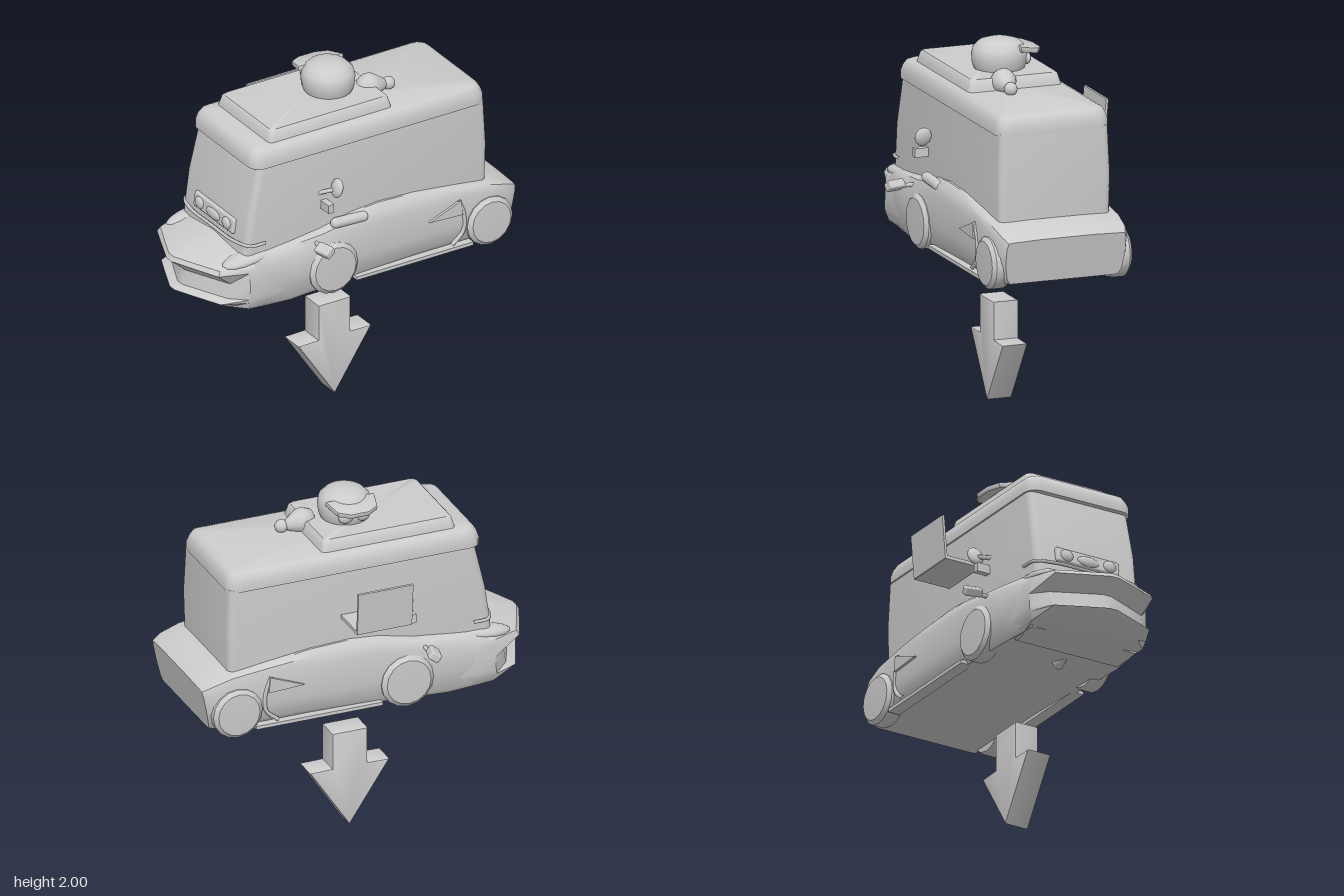
import * as THREE from 'three';
import { toCreasedNormals } from 'three/addons/utils/BufferGeometryUtils.js';
import { RoundedBoxGeometry } from 'three/addons/geometries/RoundedBoxGeometry.js';

const grey = new THREE.MeshStandardMaterial({ color: 0xcccccc });
grey.name = 'plainGrey';

// Closed skin over equal-length rings, counter-clockwise seen from the last ring
function loft(rings, crease = 0.6) {
  const n = rings[0].length, pos = [], idx = [];
  rings.forEach(r => r.forEach(p => pos.push(...p)));
  for (let i = 0; i < rings.length - 1; i++) {
    for (let j = 0; j < n; j++) {
      const a = i * n + j, b = i * n + (j + 1) % n;
      idx.push(a, b, b + n, a, b + n, a + n);
    }
  }
  [0, rings.length - 1].forEach((r, end) => {
    const c = pos.length / 3;
    pos.push(...[0, 1, 2].map(k => rings[r].reduce((s, p) => s + p[k], 0) / n));
    for (let j = 0; j < n; j++) {
      const a = r * n + j, b = r * n + (j + 1) % n;
      idx.push(...(end ? [c, a, b] : [c, b, a]));
    }
  });
  const g = new THREE.BufferGeometry();
  g.setAttribute('position', new THREE.Float32BufferAttribute(pos, 3));
  g.setIndex(idx);
  return toCreasedNormals(g, crease);
}

// Horizontal rounded rectangle at height y
function roundRect(y, x0, x1, hz, r) {
  const pts = [];
  [[x1 - r, hz - r], [x0 + r, hz - r], [x0 + r, r - hz], [x1 - r, r - hz]].forEach(([cx, cz], q) => {
    for (let k = 0; k <= 4; k++) {
      const a = (q + k / 4) * Math.PI / 2;
      pts.push([cx + r * Math.cos(a), y, -(cz + r * Math.sin(a))]);
    }
  });
  return pts;
}

export function createModel() {
  const root = new THREE.Group();
  const add = (name, geo, x = 0, y = 0, z = 0) => {
    const m = new THREE.Mesh(geo, grey);
    m.name = name;
    m.position.set(x, y, z);
    root.add(m);
    return m;
  };

  // Arrow marker below the vehicle
  const arrow = new THREE.Shape([[0.01, 0.012], [0.228, 0.34], [0.1, 0.34], [0.1, 0.55],
    [-0.085, 0.55], [-0.085, 0.34], [-0.21, 0.34]].map(p => new THREE.Vector2(...p)));
  add('arrowMarker', toCreasedNormals(new THREE.ExtrudeGeometry(arrow, {
    depth: 0.126, bevelSize: 0.01, bevelThickness: 0.01, bevelSegments: 2 }), 0.6), 0, 0, -0.063);

  // Low car body: x, half width, top half width, top, shoulder, bottom
  const sections = [
    [-0.68, 0.36, 0.27, 1.17, 1.10, 0.83], [-0.45, 0.385, 0.31, 1.18, 1.12, 0.83],
    [-0.25, 0.385, 0.33, 1.2, 1.14, 0.84], [-0.05, 0.38, 0.335, 1.245, 1.16, 0.85],
    [0.12, 0.38, 0.335, 1.26, 1.16, 0.86], [0.35, 0.38, 0.335, 1.25, 1.16, 0.87],
    [0.6, 0.38, 0.34, 1.22, 1.15, 0.87], [0.82, 0.378, 0.335, 1.19, 1.13, 0.87],
    [0.93, 0.37, 0.325, 1.15, 1.1, 0.87], [0.985, 0.345, 0.31, 1.12, 1.08, 0.875]];
  add('carBody', loft(sections.map(([x, w, tw, top, sh, bot]) => {
    const half = [[top, tw * 0.5], [top - 0.005, tw], [(top + sh) / 2 + 0.012, (w + tw) / 2 + 0.008],
      [sh, w], [0.99, w], [bot + 0.03, w * 0.96], [bot, w * 0.9], [bot, w * 0.4]];
    const lean = x > 0.9 ? 0.2 : 0;
    const at = s => ([y, z]) => [x + (y - 1.1) * lean, y, s * z];
    return [...half.map(at(1)), ...half.slice().reverse().map(at(-1))];
  }), 0.7));

  // Pointed nose with an open mouth: height, tip x, corner half width, rear half width
  const nose = [[0.82, -0.75, 0.22, 0.32], [0.85, -0.91, 0.27, 0.35], [0.895, -0.98, 0.3, 0.365],
    [0.915, -0.93, 0.29, 0.37], [1.0, -0.915, 0.29, 0.37], [1.075, -1.0, 0.31, 0.365],
    [1.1, -0.985, 0.3, 0.36], [1.15, -0.83, 0.27, 0.32], [1.175, -0.72, 0.22, 0.28]];
  add('carNose', loft(nose.map(([y, tip, w, rear]) => {
    const side = [[tip, 0.025], [tip + 0.06, w * 0.55], [tip + 0.12, w], [Math.max(tip + 0.2, -0.72), rear], [-0.5, rear]];
    return [...side.map(([x, z]) => [x, y, z]), ...side.slice().reverse().map(([x, z]) => [x, y, -z])];
  }), 0.5));

  // Fender humps on the front corners
  for (const s of [-1, 1]) {
    const g = new THREE.SphereGeometry(1, 16, 10).scale(0.17, 0.04, 0.07);
    add('frontFender', g, -0.67, 1.125, s * 0.28).rotation.z = 0.12;
  }

  // Belly fin
  add('bellyFin', new THREE.ConeGeometry(0.035, 0.1, 10).rotateZ(Math.PI / 2), -0.39, 0.835, 0.045);

  // Wheels, sills and side scoops on both sides
  const tyre = [[0, -0.055], [0.14, -0.055], [0.148, -0.04], [0.148, 0.03], [0.125, 0.05], [0, 0.055]]
    .map(p => new THREE.Vector2(...p));
  const wheelGeo = toCreasedNormals(new THREE.LatheGeometry(tyre, 16).rotateX(Math.PI / 2), 0.5);
  const scoop = new THREE.Shape([[0.41, 1.07], [0.61, 1.15], [0.62, 1.06]].map(p => new THREE.Vector2(...p)));
  const arch = new THREE.CatmullRomCurve3([[0.6, 1.15], [0.635, 1.05], [0.63, 0.95], [0.56, 0.885]]
    .map(([x, y]) => new THREE.Vector3(x, y, 0)));
  for (const s of [-1, 1]) {
    for (const [x, y, r] of [[-0.195, 0.968, 1.03], [0.797, 0.968, 0.97]]) {
      const w = add('wheel', wheelGeo, x, y, s * 0.355);
      w.rotation.y = s < 0 ? Math.PI : 0;
      w.scale.set(r, r, 1);
    }
    add('sideSill', new THREE.BoxGeometry(0.74, 0.02, 0.07), 0.32, 0.86, s * 0.352);
    add('sideScoop', new THREE.ExtrudeGeometry(scoop, { depth: 0.02, bevelEnabled: false }), 0, 0, s * 0.385 - 0.01);
    add('rearArch', new THREE.TubeGeometry(arch, 12, 0.012, 6), 0, 0, s * 0.378);
  }

  // Side pod on the front flank
  add('sidePod', new THREE.CapsuleGeometry(0.03, 0.17, 6, 12).rotateZ(Math.PI / 2 - 0.05), -0.075, 1.212, 0.35);

  // Tall van cabin with sloping windscreen
  add('vanCabin', loft([
    roundRect(1.13, -0.72, 0.82, 0.322, 0.04), roundRect(1.2, -0.715, 0.82, 0.322, 0.04),
    roundRect(1.4, -0.685, 0.825, 0.325, 0.04), roundRect(1.67, -0.625, 0.815, 0.315, 0.04)], 0.5));
  add('vanRoof', loft([
    roundRect(1.66, -0.66, 0.82, 0.325, 0.07), roundRect(1.70, -0.66, 0.82, 0.325, 0.07),
    roundRect(1.735, -0.65, 0.81, 0.315, 0.07), roundRect(1.76, -0.632, 0.795, 0.3, 0.06),
    roundRect(1.77, -0.61, 0.77, 0.275, 0.05)], 0.7));
  add('roofRack', loft([
    roundRect(1.765, -0.53, 0.255, 0.27, 0.03), roundRect(1.785, -0.525, 0.25, 0.266, 0.03),
    roundRect(1.825, -0.515, 0.24, 0.256, 0.03), roundRect(1.835, -0.505, 0.23, 0.246, 0.03)], 0.7));

  // Van face: grille panel, lamps and bumper
  add('grillePanel', new RoundedBoxGeometry(0.04, 0.09, 0.4, 2, 0.015), -0.7, 1.28, 0).rotation.z = -0.13;
  add('grille', new THREE.SphereGeometry(1, 16, 8).scale(0.015, 0.03, 0.07), -0.72, 1.275, 0);
  for (const s of [-1, 1]) {
    add('headlamp', new THREE.SphereGeometry(1, 14, 8).scale(0.018, 0.035, 0.04), -0.72, 1.28, s * 0.135);
  }
  const bumper = new THREE.CatmullRomCurve3([[-0.6, 0.335], [-0.69, 0.325], [-0.73, 0.22],
    [-0.735, 0], [-0.73, -0.22], [-0.69, -0.325], [-0.6, -0.335]].map(([x, z]) => new THREE.Vector3(x, 1.215, z)));
  add('bumper', new THREE.TubeGeometry(bumper, 40, 0.01, 6));

  // Mirrors and lamps on both flanks
  for (const s of [-1, 1]) {
    const round = add('vanMirror', new THREE.SphereGeometry(1, 14, 10).scale(0.024, 0.054, 0.048), -0.165, 1.44, s * 0.37);
    round.rotation.z = -0.25;
    const arm = new THREE.LineCurve3(new THREE.Vector3(-0.25, 1.41, s * 0.315), new THREE.Vector3(-0.17, 1.435, s * 0.37));
    add('mirrorArm', new THREE.TubeGeometry(arm, 1, 0.013, 6));
    add('sideLamp', new THREE.BoxGeometry(0.036, 0.05, 0.1), -0.222, 1.342, s * 0.352);
    const wing = add('carMirror', new RoundedBoxGeometry(0.065, 0.05, 0.1, 2, 0.012), -0.31, 1.148, s * 0.475);
    wing.rotation.set(0, s * 0.25, 0.6);
    add('carMirrorStalk', new THREE.CylinderGeometry(0.012, 0.012, 0.1, 8).rotateX(Math.PI / 2), -0.3, 1.145, s * 0.4);
  }

  // Fold-out shelf with upright panel on the rear flank
  add('shelf', new THREE.BoxGeometry(0.32, 0.02, 0.24), 0.01, 1.4, -0.425);
  add('shelfPanel', new THREE.BoxGeometry(0.32, 0.25, 0.014), 0.01, 1.517, -0.552).rotation.x = -0.08;

  // Peaked helmet on the roof
  const dome = [[0, 1.83], [0.13, 1.83], [0.142, 1.86], [0.147, 1.91], [0.138, 1.95], [0.105, 1.983], [0.055, 1.998], [0, 2]]
    .map(p => new THREE.Vector2(...p));
  add('helmet', toCreasedNormals(new THREE.LatheGeometry(dome, 24), 0.8), 0.01, 0, 0).scale.z = 1.04;
  const peak = new THREE.Shape([[-0.135, 0], [-0.11, 0.1], [-0.05, 0.135], [0.05, 0.135], [0.11, 0.1], [0.135, 0]]
    .map(p => new THREE.Vector2(...p)));
  const peakGeo = new THREE.ExtrudeGeometry(peak, { depth: 0.018, bevelSize: 0.006, bevelThickness: 0.006, bevelSegments: 2 });
  add('helmetPeak', toCreasedNormals(peakGeo.rotateX(-Math.PI / 2), 0.7), 0.01, 1.945, -0.075).rotation.x = -0.2;
  for (const s of [-1, 1]) {
    add('goggle', new THREE.SphereGeometry(0.035, 12, 8).scale(1.2, 1, 0.7), 0.01 + s * 0.05, 1.885, -0.135);
  }

  // Small blob with a round tip beside the helmet
  const blob = [[0, -0.09], [0.045, -0.075], [0.07, -0.03], [0.068, 0.005], [0.04, 0.06], [0.018, 0.095], [0, 0.1]]
    .map(p => new THREE.Vector2(...p));
  add('blob', new THREE.LatheGeometry(blob, 16).rotateZ(-Math.PI / 2), 0.245, 1.81, 0.065).rotation.z = -0.15;
  add('blobTip', new THREE.SphereGeometry(0.037, 14, 10), 0.35, 1.797, 0.07);

  // The vehicle sits slightly forward of the origin
  root.position.z = 0.036;
  const model = new THREE.Group();
  model.name = 'vanOnSportsCar';
  model.add(root);
  return model;
}
